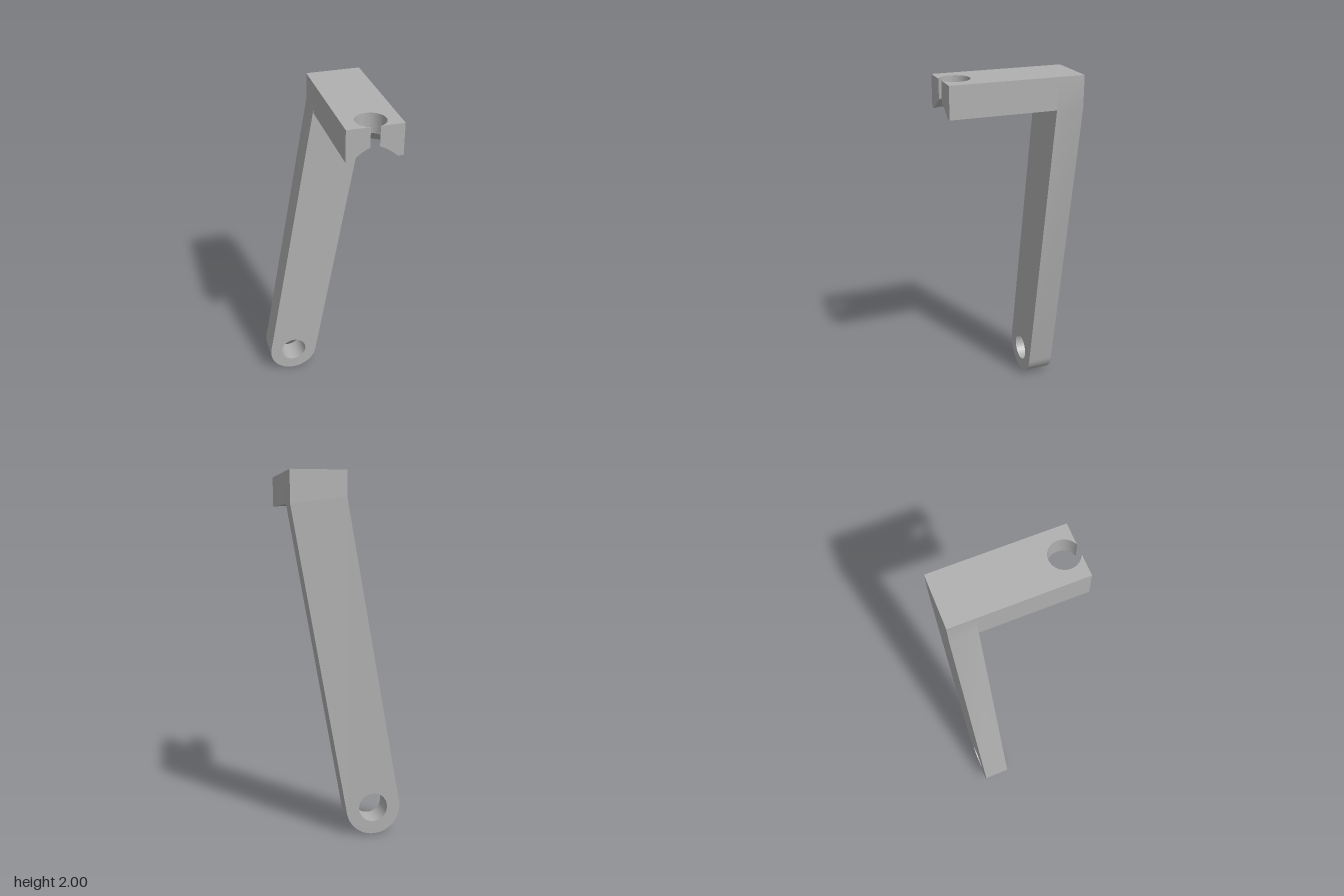
import * as THREE from 'three';
import { mergeGeometries, toCreasedNormals } from 'three/addons/utils/BufferGeometryUtils.js';

const W = 0.304, TOP = 2, UNDER = 1.826;            // width, tab top and underside
const BACK = -0.368, ARM_FRONT = -0.217, FRONT = 0.368;
const R = W / 2;

// Slanted arm with rounded, drilled foot; its upper end is vertical behind the tab
function armGeometry() {
  const a = Math.atan2(W, 1.70);
  const s = new THREE.Shape();
  s.moveTo(0, TOP);
  s.lineTo(0, 1.86);
  s.absarc(-R, R, R, Math.PI - a, 2 * Math.PI - a, false);
  s.lineTo(W, UNDER);
  s.lineTo(W, TOP);
  s.closePath();
  const hole = new THREE.Path();
  hole.absarc(-R, R, 0.08, 0, Math.PI * 2, true);
  s.holes.push(hole);
  const g = new THREE.ExtrudeGeometry(s, { depth: ARM_FRONT - BACK, bevelEnabled: false, curveSegments: 40 });
  g.translate(0, 0, BACK);
  return toCreasedNormals(g, 0.5);
}

// Tab outline in x,z with a round notch of radius r that breaks through the front edge
function tabOutline(r) {
  const cz = 0.29, n = 56, open = Math.acos((FRONT - cz) / r);
  const pts = [[0, FRONT], [0, ARM_FRONT], [W, ARM_FRONT], [W, FRONT]];
  for (let i = 0; i <= n; i++) {
    const t = open + (2 * Math.PI - 2 * open) * i / n;
    pts.push([R + r * Math.sin(t), cz + r * Math.cos(t)]);
  }
  return pts;
}

function tabGeometry() {
  const hole = 0.082, sink = 0.145, steps = 10;
  // 45 degree countersink rising from the underside, then a straight bore
  const levels = [];
  for (let i = 0; i <= steps; i++) {
    const r = sink + (hole - sink) * i / steps;
    levels.push({ y: UNDER + sink - r, pts: tabOutline(r) });
  }
  levels.push({ y: TOP, pts: tabOutline(hole) });

  const pos = [];
  for (let k = 0; k < levels.length - 1; k++) {
    const lo = levels[k], hi = levels[k + 1], n = lo.pts.length;
    for (let i = 0; i < n; i++) {
      const j = (i + 1) % n;
      const at = (l, m) => [l.pts[m][0], l.y, l.pts[m][1]];
      pos.push(...at(lo, i), ...at(hi, i), ...at(hi, j), ...at(lo, i), ...at(hi, j), ...at(lo, j));
    }
  }
  const walls = new THREE.BufferGeometry();
  walls.setAttribute('position', new THREE.Float32BufferAttribute(pos, 3));

  // Flat face at one level, facing up (1) or down (-1)
  const cap = (level, up) => {
    const shape = new THREE.Shape(level.pts.map(([x, z]) => new THREE.Vector2(x, -up * z)));
    const g = new THREE.ShapeGeometry(shape).toNonIndexed();
    g.rotateX(-up * Math.PI / 2).translate(0, level.y, 0);
    g.deleteAttribute('uv');
    g.deleteAttribute('normal');
    return g;
  };
  const g = mergeGeometries([walls, cap(levels[0], -1), cap(levels[levels.length - 1], 1)]);
  return toCreasedNormals(g, 0.5);
}

export function createModel() {
  const grey = new THREE.MeshStandardMaterial({ color: 0xb0b0b0 });
  grey.name = 'plain grey';
  const group = new THREE.Group();
  group.name = 'leverBracket';
  const add = (name, geometry) => {
    const mesh = new THREE.Mesh(geometry, grey);
    mesh.name = name;
    group.add(mesh);
  };
  add('arm', armGeometry());
  add('countersunkTab', tabGeometry());
  return group;
}
